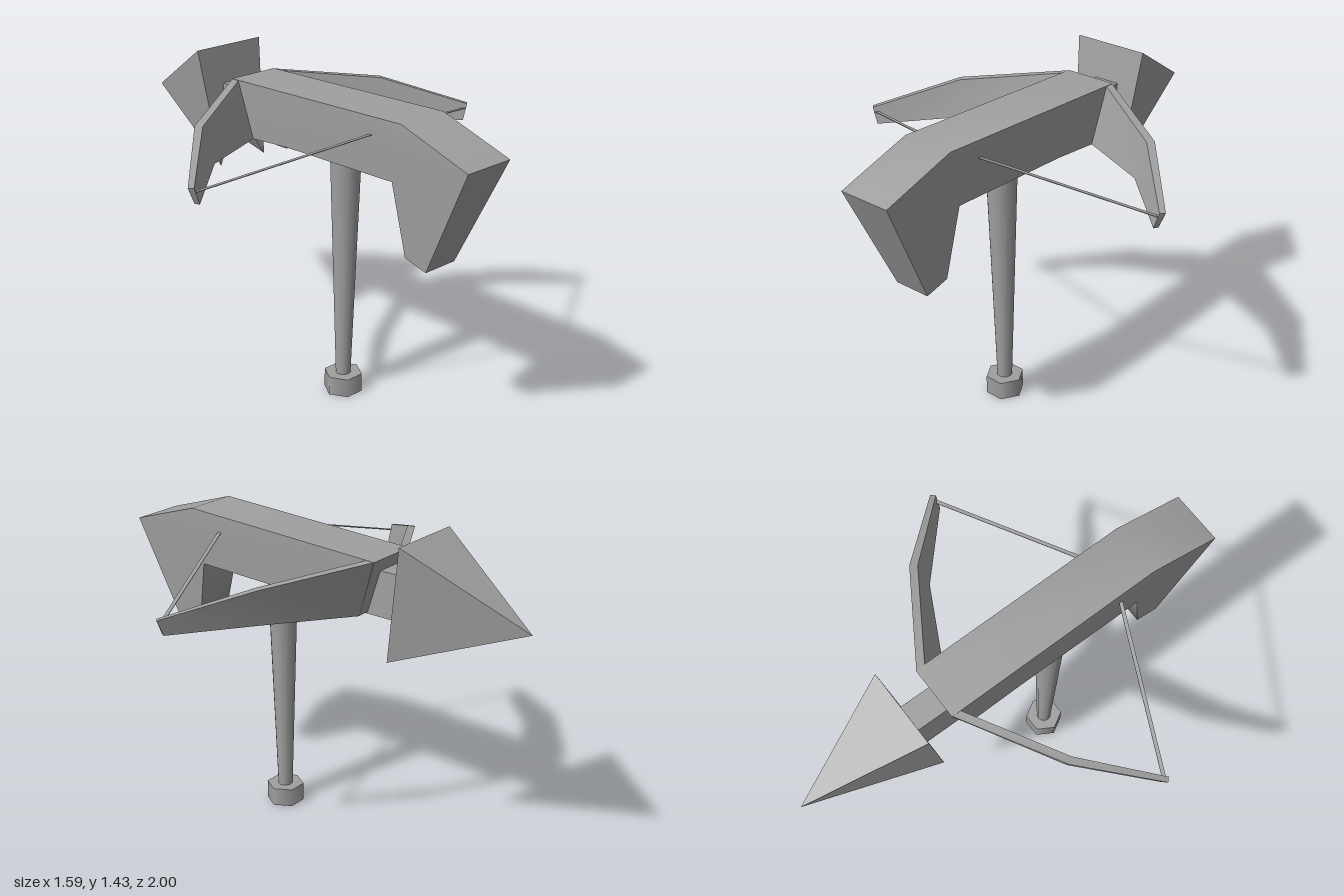
import * as THREE from 'three';
import { toCreasedNormals } from 'three/addons/utils/BufferGeometryUtils.js';

const solid = new THREE.MeshStandardMaterial({ color: 0xa0a0a0 });
const open = new THREE.MeshStandardMaterial({ color: 0xa0a0a0, side: THREE.DoubleSide });

function add(group, name, geometry, material = solid) {
  const mesh = new THREE.Mesh(geometry, material);
  mesh.name = name;
  group.add(mesh);
  return mesh;
}

// Geometry from triangles of [x, y, z] corners; edges bent past the crease angle stay sharp
function fromTriangles(triangles, crease) {
  const geometry = new THREE.BufferGeometry();
  geometry.setAttribute('position', new THREE.Float32BufferAttribute(triangles.flat(2), 3));
  return toCreasedNormals(geometry, crease);
}

// Hollow body from a side profile (z, y), open underneath and narrowing down the grip
function bodyGeometry() {
  const profile = [
    [1.0, 1.25], [0.66, 1.36], [-0.34, 1.325], [-0.26, 1.075], [0, 1.095],
    [0.61, 1.11], [0.67, 0.8], [0.78, 0.77],
  ];
  const corner = (i, side) => {
    const [z, y] = profile[i % profile.length];
    const drop = THREE.MathUtils.clamp((1.25 - y) / 0.48, 0, 1);
    return [side * 0.12 * (1 - 0.3 * drop), y, z];
  };
  const triangles = [];
  // Side walls
  const contour = profile.map(([z, y]) => new THREE.Vector2(z, y));
  for (const [a, b, c] of THREE.ShapeUtils.triangulateShape(contour, [])) {
    triangles.push([corner(a, -1), corner(b, -1), corner(c, -1)]);
    triangles.push([corner(c, 1), corner(b, 1), corner(a, 1)]);
  }
  // Top, ends and grip; edges 3 and 4 are the open underside
  for (const i of [0, 1, 2, 5, 6, 7]) {
    const [a, b, c, d] = [corner(i, -1), corner(i, 1), corner(i + 1, 1), corner(i + 1, -1)];
    triangles.push([a, b, c], [a, c, d]);
  }
  return fromTriangles(triangles, 1.2);
}

// Bow limb lofted through four-cornered sections, root to tip
function limbGeometry(side) {
  const sections = [
    [[0.115, 1.325, -0.34], [0.115, 1.325, -0.3], [0.105, 1.078, -0.22], [0.105, 1.073, -0.26]],
    [[0.53, 1.265, -0.083], [0.51, 1.265, -0.055], [0.475, 1.105, -0.03], [0.49, 1.1, -0.055]],
    [[0.797, 1.15, 0.208], [0.78, 1.15, 0.225], [0.755, 1.078, 0.225], [0.765, 1.078, 0.205]],
  ].map((s) => s.map(([x, y, z]) => [x * side, y, z]));
  const triangles = [];
  const quad = (a, b, c, d) => {
    if (side > 0) triangles.push([a, b, c], [a, c, d]);
    else triangles.push([c, b, a], [d, c, a]);
  };
  for (let s = 0; s < 2; s++) {
    const [a, b] = [sections[s], sections[s + 1]];
    for (let i = 0; i < 4; i++) {
      const j = (i + 1) % 4;
      quad(a[i], a[j], b[j], b[i]);
    }
  }
  quad(...sections[2]);
  return fromTriangles(triangles, 0.5);
}

// Pyramid head with a V notch cut along its underside
function arrowheadGeometry() {
  const tip = [-0.01, 1.14, -1];
  const base = [
    [-0.185, 1.43, -0.49], [-0.135, 0.91, -0.41], [-0.01, 1.13, -0.445],
    [0.118, 0.91, -0.41], [0.165, 1.43, -0.49],
  ];
  const [tl, bl, notch, br, tr] = base;
  const triangles = [[tl, bl, notch], [tl, notch, tr], [notch, br, tr]];
  base.forEach((corner, i) => triangles.push([base[(i + 1) % 5], corner, tip]));
  return fromTriangles(triangles, 0.1);
}

export function createModel() {
  const model = new THREE.Group();
  model.name = 'crossbow';

  add(model, 'body', bodyGeometry(), open);
  add(model, 'arrowhead', arrowheadGeometry());
  add(model, 'arrowShaft', new THREE.BoxGeometry(0.12, 0.2, 0.42)).position.set(-0.008, 1.168, -0.26);

  // Mirrored limbs and flat bowstrings
  for (const side of [1, -1]) {
    const label = side > 0 ? 'left' : 'right';
    add(model, label + 'Limb', limbGeometry(side));
    const outer = new THREE.Vector3(0.772 * side, 1.128, 0.212);
    const inner = new THREE.Vector3(0.1 * side, 1.284, 0.508);
    const ribbon = new THREE.BoxGeometry(0.016, 0.003, outer.distanceTo(inner));
    const string = add(model, label + 'Bowstring', ribbon);
    string.position.lerpVectors(outer, inner, 0.5);
    string.lookAt(inner);
  }

  // Tapered post reaching up inside the body
  const post = add(model, 'post', new THREE.CylinderGeometry(0.07, 0.033, 1.11, 12));
  post.position.set(0, 0.625, 0.243);

  // Six-sided foot, hollow underneath
  const foot = new THREE.Group();
  foot.name = 'foot';
  foot.position.set(0, 0.0425, 0.243);
  const wall = new THREE.CylinderGeometry(0.085, 0.085, 0.085, 6, 1, true);
  add(foot, 'footWall', wall.rotateY(Math.PI / 2), open);
  const lid = new THREE.CircleGeometry(0.085, 6);
  add(foot, 'footTop', lid.rotateX(-Math.PI / 2).translate(0, 0.0425, 0), open);
  model.add(foot);

  return model;
}
